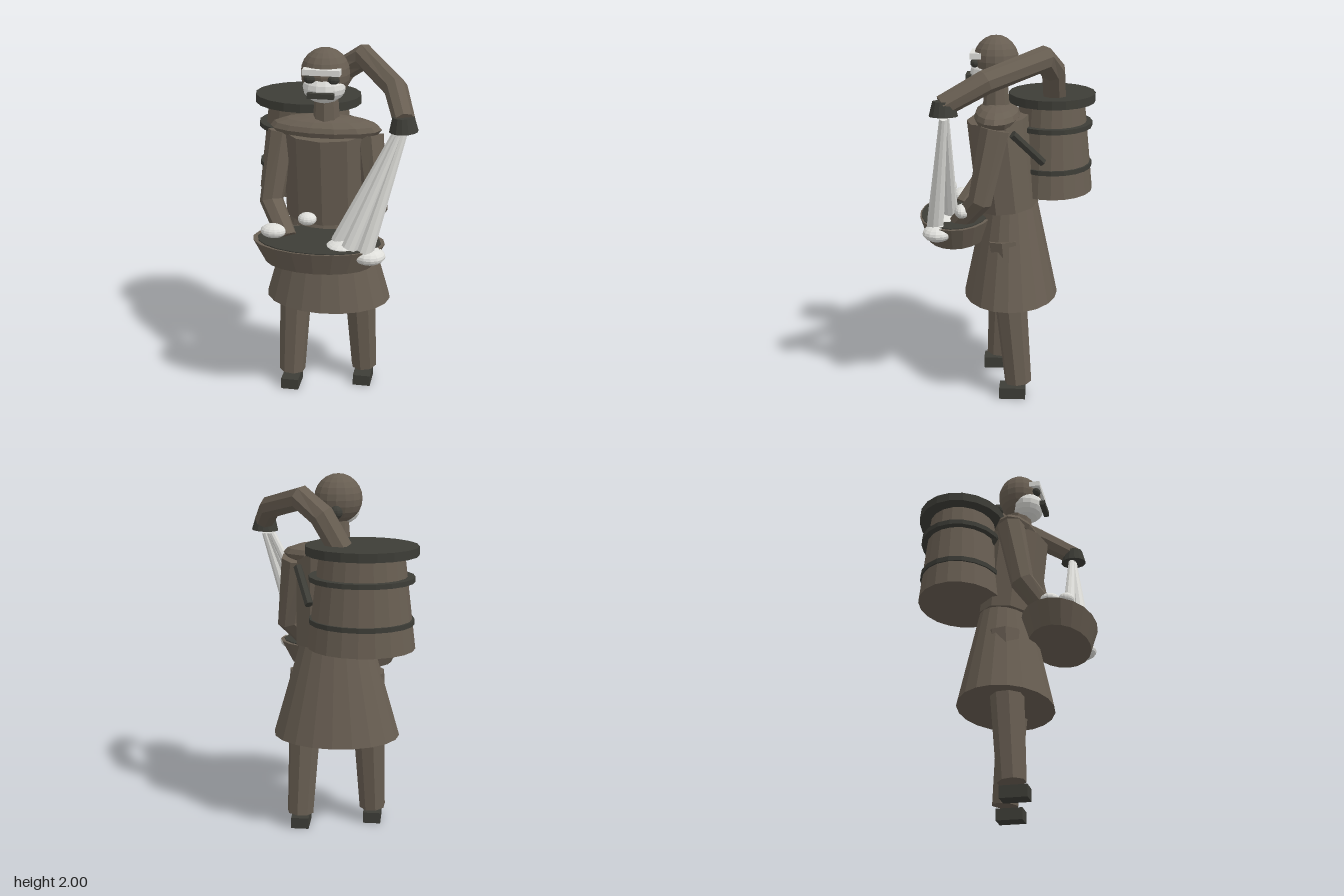
import * as THREE from 'three';

const flat = (name, color) => {
  const m = new THREE.MeshStandardMaterial({ color });
  m.name = name;
  m.flatShading = true;
  return m;
};

export function createModel() {
  const brown = flat('earth brown', 0x685e52);
  const dark = flat('charcoal', 0x3d3d37);
  const pale = flat('bone white', 0xdededa);
  const group = new THREE.Group();
  const MID = -0.037; // body's own centre line

  const add = (name, geo, mat, x = 0, y = 0, z = 0) => {
    const mesh = new THREE.Mesh(geo, mat);
    mesh.name = name;
    mesh.position.set(x, y, z);
    group.add(mesh);
    return mesh;
  };
  const ball = (name, mat, p, r, w = 14, h = 10) => {
    const m = add(name, new THREE.SphereGeometry(1, w, h), mat, ...p);
    m.scale.set(...r);
    return m;
  };
  const box = (name, mat, p, s) => add(name, new THREE.BoxGeometry(...s), mat, ...p);
  // Upright, elliptical drum between two heights
  const drum = (name, mat, x, z, y0, y1, r0, r1, squash, sides = 20) => {
    const m = add(name, new THREE.CylinderGeometry(r1, r0, y1 - y0, sides), mat, x, (y0 + y1) / 2, z);
    m.scale.z = squash;
    return m;
  };
  // Tapered rod from a to b
  const rod = (name, mat, a, b, ra, rb, sides = 8) => {
    const A = new THREE.Vector3(...a), B = new THREE.Vector3(...b);
    const d = B.clone().sub(A);
    const m = add(name, new THREE.CylinderGeometry(rb, ra, d.length(), sides), mat);
    m.position.copy(A).add(B).multiplyScalar(0.5);
    m.quaternion.setFromUnitVectors(new THREE.Vector3(0, 1, 0), d.normalize());
    return m;
  };
  // Jointed limb with mitred bends, swept as rings of vertices
  const limb = (name, mat, pts, radii, sides = 8) => {
    const P = pts.map((p) => new THREE.Vector3(...p));
    const dirs = P.slice(1).map((p, i) => p.clone().sub(P[i]).normalize());
    const pos = [], idx = [];
    let u = new THREE.Vector3(1, 0, 0);
    P.forEach((p, i) => {
      const before = dirs[Math.max(i - 1, 0)], after = dirs[Math.min(i, dirs.length - 1)];
      const t = before.clone().add(after).normalize();
      u = u.clone().addScaledVector(t, -u.dot(t)).normalize();
      const v = t.clone().cross(u);
      for (let k = 0; k < sides; k++) {
        const a = ((k + 0.5) / sides) * Math.PI * 2;
        const q = p.clone().addScaledVector(u, Math.cos(a) * radii[i]).addScaledVector(v, Math.sin(a) * radii[i]);
        pos.push(q.x, q.y, q.z);
      }
    });
    for (let i = 0; i < P.length - 1; i++) {
      for (let k = 0; k < sides; k++) {
        const a = i * sides + k, b = i * sides + ((k + 1) % sides);
        idx.push(a, b, b + sides, a, b + sides, a + sides);
      }
    }
    const last = (P.length - 1) * sides;
    for (let k = 1; k < sides - 1; k++) {
      idx.push(0, k + 1, k, last, last + k, last + k + 1);
    }
    const geo = new THREE.BufferGeometry();
    geo.setAttribute('position', new THREE.Float32BufferAttribute(pos, 3));
    geo.setIndex(idx);
    geo.computeVertexNormals();
    return add(name, geo, mat);
  };

  // Legs and feet, one stepping forward
  for (const [side, s, zFoot, zLeg] of [['left', 1, -0.043, -0.075], ['right', -1, 0.068, 0.05]]) {
    rod(side + 'Leg', brown, [MID + s * 0.165, 0.92, 0], [MID + s * 0.202, 0.09, zLeg], 0.1, 0.075, 8);
    box(side + 'Foot', dark, [MID + s * 0.202, 0.032, zFoot], [0.1, 0.064, 0.145]);
  }

  // Skirt, torso, shoulders and neck
  drum('skirt', brown, MID, -0.025, 0.56, 1.09, 0.352, 0.2, 0.74);
  const torso = drum('torso', brown, MID, 0.02, 1.07, 1.56, 0.23, 0.23, 0.74, 10);
  torso.rotation.x = 0.11;
  ball('shoulders', brown, [MID, 1.572, 0.05], [0.3, 0.068, 0.125], 14, 8);
  drum('neck', brown, MID + 0.005, 0.055, 1.58, 1.78, 0.075, 0.06, 1, 8);

  // Head and face
  ball('head', brown, [MID, 1.868, 0.055], [0.13, 0.132, 0.122], 16, 12);
  ball('beard', pale, [MID, 1.802, 0.095], [0.113, 0.082, 0.1], 14, 10);
  box('brow', pale, [MID, 1.898, 0.16], [0.195, 0.03, 0.06]);
  box('mouth', dark, [MID, 1.783, 0.2], [0.138, 0.027, 0.03]);
  for (const s of [1, -1]) ball('eye', dark, [MID + s * 0.062, 1.86, 0.165], [0.032, 0.024, 0.024], 10, 8);
  ball('hairKnot', dark, [MID, 1.81, -0.075], [0.035, 0.035, 0.035], 10, 8);

  // Lower arms holding the bowl, and the pack straps
  for (const [side, s] of [['left', 1], ['right', -1]]) {
    limb(side + 'Arm', brown,
      [[MID + s * 0.235, 1.54, 0.05], [MID + s * 0.285, 1.17, 0.125], [MID + s * 0.175, 1.01, 0.25]],
      [0.078, 0.066, 0.056], 7);
    rod(side + 'Strap', dark, [MID + s * 0.21, 1.51, -0.04], [MID + s * 0.13, 1.34, -0.2], 0.024, 0.024, 6);
  }

  // Barrel carried on the back
  const bx = -0.187, bz = -0.245;
  drum('barrel', brown, bx, bz, 1.13, 1.63, 0.284, 0.222, 0.81);
  drum('barrelLid', dark, bx, bz, 1.625, 1.672, 0.295, 0.295, 0.81);
  for (const y of [1.275, 1.5]) drum('barrelHoop', dark, bx, bz, y - 0.013, y + 0.013, 0.277, 0.277, 0.81);

  // Long arm reaching over from the barrel, ending in a flared cuff
  limb('barrelArm', brown,
    [[-0.08, 1.65, -0.26], [0.02, 1.82, -0.25], [0.13, 1.9, -0.2], [0.335, 1.81, 0.09], [0.405, 1.7, 0.3]],
    [0.065, 0.067, 0.068, 0.062, 0.056], 8);
  const cuff = drum('cuff', dark, 0.4, 0.295, 1.65, 1.725, 0.074, 0.055, 1, 14);
  cuff.rotation.z = 0.05;

  // Bowl with dark contents
  drum('bowl', brown, MID, 0.275, 0.895, 1.02, 0.288, 0.354, 0.575);
  drum('bowlContents', dark, MID + 0.003, 0.28, 1.0, 1.025, 0.33, 0.33, 0.575);

  // Pale streams pouring from the cuff, with pools at the ends
  for (const [b, r] of [[[0.075, 1.03, 0.3], 0.042], [[0.145, 1.03, 0.375], 0.045], [[0.225, 1.01, 0.37], 0.045]]) {
    rod('stream', pale, [0.345 + b[0] * 0.25, 1.635, 0.29 + (b[2] - 0.3) * 0.1], b, 0.02, r, 10);
  }
  ball('pool', pale, [0.245, 0.985, 0.355], [0.086, 0.045, 0.08]);
  ball('pool', pale, [0.1, 1.02, 0.335], [0.085, 0.028, 0.085]);

  // Pale lumps in and above the bowl
  ball('lump', pale, [-0.087, 1.155, 0.322], [0.05, 0.034, 0.044]);
  ball('lump', pale, [-0.28, 1.052, 0.268], [0.072, 0.038, 0.056]);
  ball('lump', pale, [0.218, 1.1, 0.225], [0.06, 0.038, 0.04]);

  return group;
}
